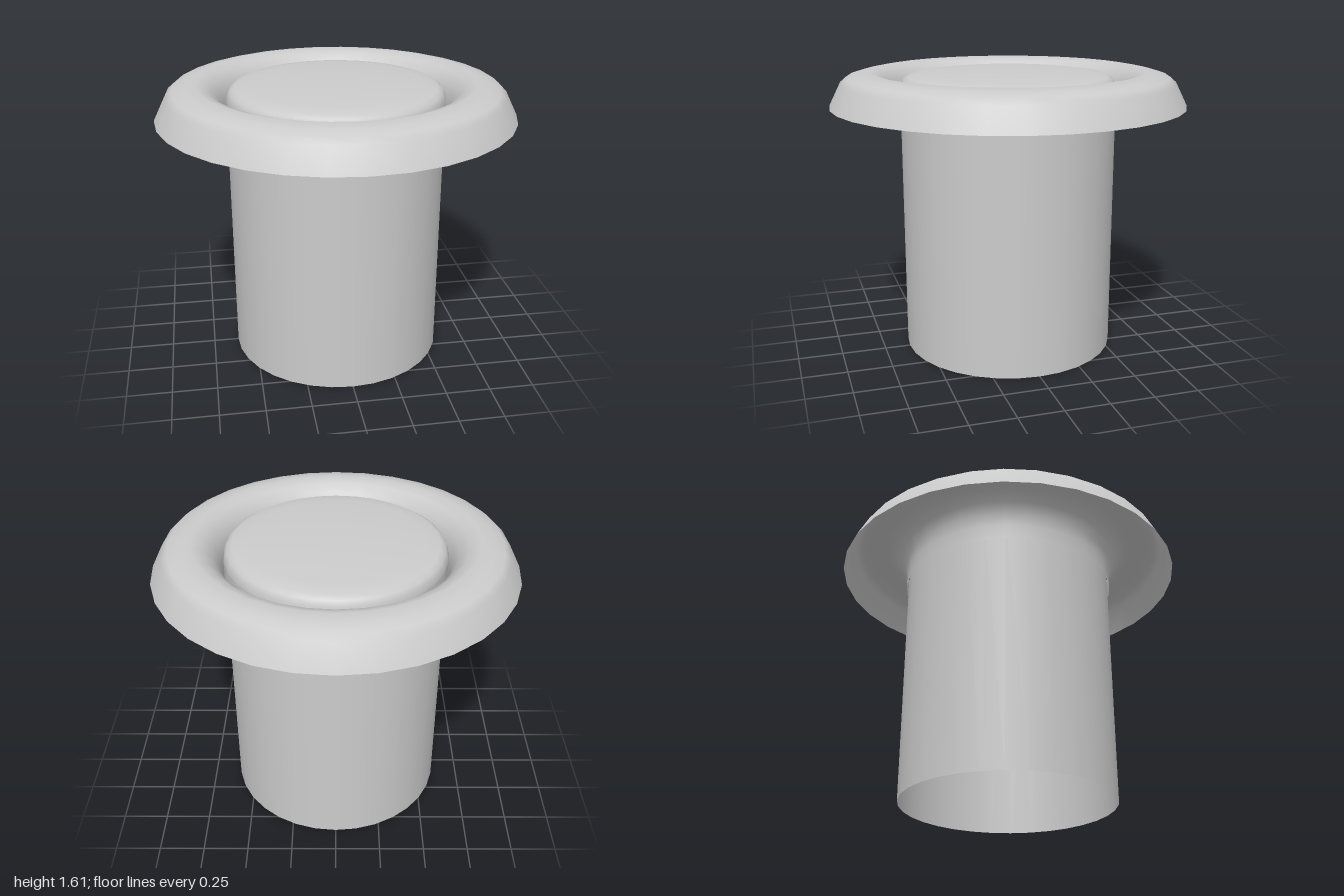
import * as THREE from 'three';

const SEGMENTS = 32;

// Thin turned shell from [radius, height] pairs
function turned(name, profile) {
  const points = profile.map(([r, y]) => new THREE.Vector2(r, y));
  const material = new THREE.MeshStandardMaterial({ color: 0xcccccc, side: THREE.DoubleSide });
  const mesh = new THREE.Mesh(new THREE.LatheGeometry(points, SEGMENTS), material);
  mesh.name = name;
  return mesh;
}

export function createModel() {
  const model = new THREE.Group();
  model.name = 'pushButton';

  // Straight plunger wall, open at the bottom
  model.add(turned('plungerWall', [[0.606, 0], [0.606, 1.5]]));

  // Gently domed cap with a rounded edge
  model.add(turned('plungerCap', [
    [0.606, 1.5], [0.602, 1.53], [0.588, 1.557], [0.56, 1.574],
    [0.48, 1.585], [0.3, 1.597], [0.15, 1.602], [0, 1.604],
  ]));

  // Flared collar: outer skirt, rounded crest, inner throat and short sleeve
  model.add(turned('collar', [
    [1.0, 1.415], [0.935, 1.545], [0.9, 1.575], [0.84, 1.592], [0.77, 1.605],
    [0.71, 1.585], [0.66, 1.54], [0.63, 1.48], [0.618, 1.415], [0.618, 1.33],
  ]));

  return model;
}
